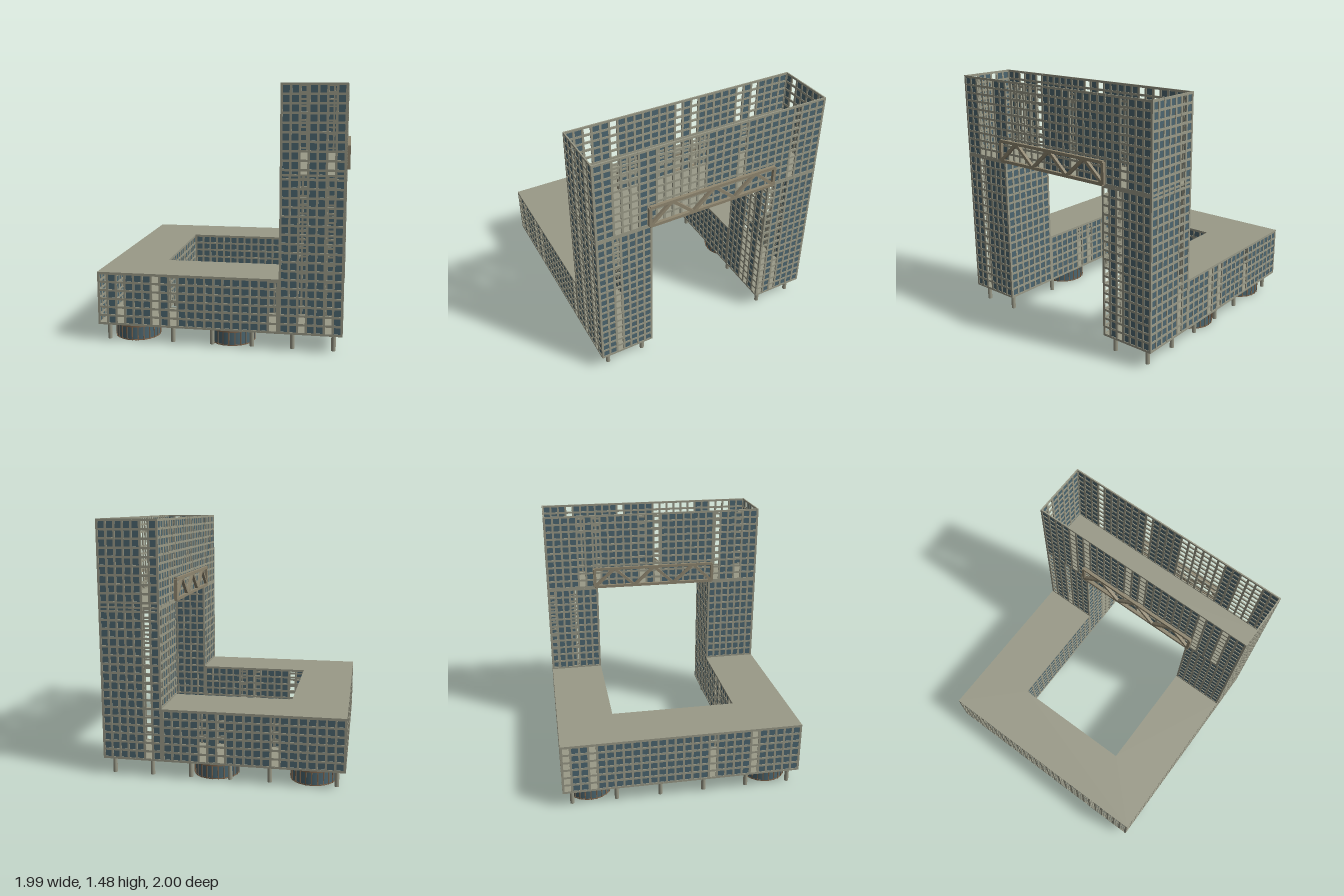
import * as THREE from 'three';
import { mergeGeometries } from 'three/addons/utils/BufferGeometryUtils.js';

const mat = (name, color, side = THREE.FrontSide) => {
  const m = new THREE.MeshStandardMaterial({ color, side });
  m.name = name;
  return m;
};

export function createModel() {
  const concrete = mat('concrete', 0x9a9a88);
  const glass = mat('blueGlass', 0x4c6670, THREE.DoubleSide);
  const steel = mat('trussSteel', 0x8f8670);
  const brown = mat('drumBrown', 0x806850);

  // Main dimensions: half sizes of the block and of its courtyard
  const X = 0.715, Z = 0.70, XI = 0.38, ZI = 0.365, ZT = -0.345;
  const Y0 = 0.10, YB = 0.41, YF = 0.99, YT = 1.48;

  const model = new THREE.Group();
  model.name = 'building';
  const body = new THREE.Group();
  body.name = 'rotatedBlock';
  body.rotation.y = -0.865;
  model.add(body);

  let seed = 7;
  const rand = () => (seed = (seed * 16807) % 2147483647) / 2147483647;

  const add = (parent, name, geos, material) => {
    const mesh = new THREE.Mesh(Array.isArray(geos) ? mergeGeometries(geos) : geos, material);
    mesh.name = name;
    parent.add(mesh);
    return mesh;
  };
  const box = (w, h, d, x, y, z) => new THREE.BoxGeometry(w, h, d).translate(x, y, z);

  // Curtain wall between two plan points: bars, floor bands, and glass with some open bays
  const PITCH = 0.051, BAR = 0.013, DEEP = 0.008;
  function facade(name, x0, z0, x1, z1, y0, y1) {
    const len = Math.hypot(x1 - x0, z1 - z0), h = y1 - y0;
    const cols = Math.round(len / PITCH), rows = Math.round(h / PITCH);
    const bars = [], panes = [];
    for (let i = 0; i <= cols; i++) {
      const x = BAR / 2 + (len - BAR) * i / cols;
      bars.push(box(BAR, h, DEEP, x, h / 2, 0));
    }
    for (let j = 0; j <= rows; j++) {
      const y = BAR / 2 + (h - BAR) * j / rows;
      bars.push(box(len, BAR, DEEP * 0.9, len / 2, y, 0));
    }
    for (let i = 0; i < cols; i++) {
      if (rand() < 0.22) continue;
      panes.push(new THREE.PlaneGeometry(len / cols, h).translate(len * (i + 0.5) / cols, h / 2, 0));
    }
    const g = new THREE.Group();
    g.name = name;
    g.position.set(x0, y0, z0);
    g.rotation.y = -Math.atan2(z1 - z0, x1 - x0);
    add(g, name + 'Grid', bars, concrete);
    add(g, name + 'Glass', panes, glass);
    body.add(g);
  }

  // Low wing and courtyard walls
  const e = DEEP / 2;
  facade('wingFront', -X, Z - e, X, Z - e, Y0, YB);
  facade('courtFront', -XI, ZI + e, XI, ZI + e, Y0, YB);
  for (const s of [-1, 1]) {
    const xo = s * (X - e), xi = s * (XI + e);
    facade('wingSide', xo, ZT, xo, Z, Y0, YB);
    facade('courtSide', xi, ZT, xi, ZI, Y0, YB);
    // Tower legs
    facade('towerSide', xo, -Z, xo, ZT, Y0, YT);
    facade('legInside', xi, -Z, xi, ZT, Y0, YF);
    const [a, b] = s < 0 ? [-X, -XI] : [XI, X];
    facade('legFront', a, ZT - e, b, ZT - e, YB, YF);
    facade('legBack', a, -Z + e, b, -Z + e, Y0, YF);
  }
  // Upper tower, open at the top
  facade('towerFront', -X, ZT - e, X, ZT - e, YF, YT);
  facade('towerBack', -X, -Z + e, X, -Z + e, YF, YT);

  // U-shaped slab in plan, open toward the back
  function slabU(name, y, zBack) {
    const s = new THREE.Shape([
      [-X, zBack], [-XI, zBack], [-XI, ZI], [XI, ZI], [XI, zBack], [X, zBack], [X, Z], [-X, Z],
    ].map(([x, z]) => new THREE.Vector2(x, z)));
    const g = new THREE.ExtrudeGeometry(s, { depth: 0.01, bevelEnabled: false });
    add(body, name, g.rotateX(Math.PI / 2).translate(0, y, 0), concrete);
  }
  slabU('groundSlab', Y0 + 0.01, -Z);
  slabU('wingRoof', YB + 0.002, ZT);
  add(body, 'bridgeFloor', box(2 * X - 0.004, 0.012, ZT + Z - 0.004, 0, YF, (ZT - Z) / 2), concrete);

  // Trusses on both faces of the bridge
  const T = 0.4, TB = 1.0, TT = 1.12, TH = 0.018;
  const bar = (x0, y0, x1, y1) => {
    const l = Math.hypot(x1 - x0, y1 - y0);
    return new THREE.BoxGeometry(l, TH, TH)
      .rotateZ(Math.atan2(y1 - y0, x1 - x0))
      .translate((x0 + x1) / 2, (y0 + y1) / 2, 0);
  };
  for (const [name, z] of [['frontTruss', ZT + 0.01], ['backTruss', -Z - 0.01]]) {
    const parts = [bar(-T, TB, T, TB), bar(-T, TT, T, TT), bar(-T, TB, -T, TT), bar(T, TB, T, TT)];
    for (let i = 0; i < 6; i++) {
      const up = i % 2 === 0;
      parts.push(bar(-T + T * i / 3, up ? TB : TT, -T + T * (i + 1) / 3, up ? TT : TB));
    }
    add(body, name, parts, steel).position.z = z;
  }

  // Round ground-floor drums with thin ribs
  for (const x of [-0.548, 0.548]) for (const z of [-0.06, 0.51]) {
    const g = new THREE.Group();
    g.name = 'entranceDrum';
    g.position.set(x, 0, z);
    body.add(g);
    add(g, 'drumGlass', new THREE.CylinderGeometry(0.13, 0.13, 0.085, 32, 1, true).translate(0, 0.0425, 0), glass);
    add(g, 'drumCaps', [
      new THREE.CylinderGeometry(0.132, 0.132, 0.006, 32).translate(0, 0.003, 0),
      new THREE.CylinderGeometry(0.139, 0.139, 0.01, 32).translate(0, 0.085, 0),
    ], brown);
    const ribs = [];
    for (let i = 0; i < 24; i++) {
      ribs.push(box(0.006, 0.085, 0.008, 0, 0.0425, 0.13).rotateY(i * Math.PI / 12));
    }
    add(g, 'drumRibs', ribs, brown);
  }

  // Stilts: an outer row round three sides and a sparser inner row
  const spots = [];
  for (const s of [-1, 1]) {
    for (let i = 0; i < 6; i++) spots.push([s * 0.66, -0.65 + 0.23 * i]);
    for (const z of [-0.65, -0.3, 0.27]) spots.push([s * 0.43, z]);
  }
  for (let i = 0; i < 6; i++) spots.push([-0.66 + 0.264 * i, 0.65]);
  for (const x of [-0.264, 0, 0.264]) spots.push([x, 0.42]);
  add(body, 'stilts', spots.map(([x, z]) =>
    new THREE.CylinderGeometry(0.013, 0.013, Y0, 10).translate(x, Y0 / 2, z)), concrete);

  return model;
}
